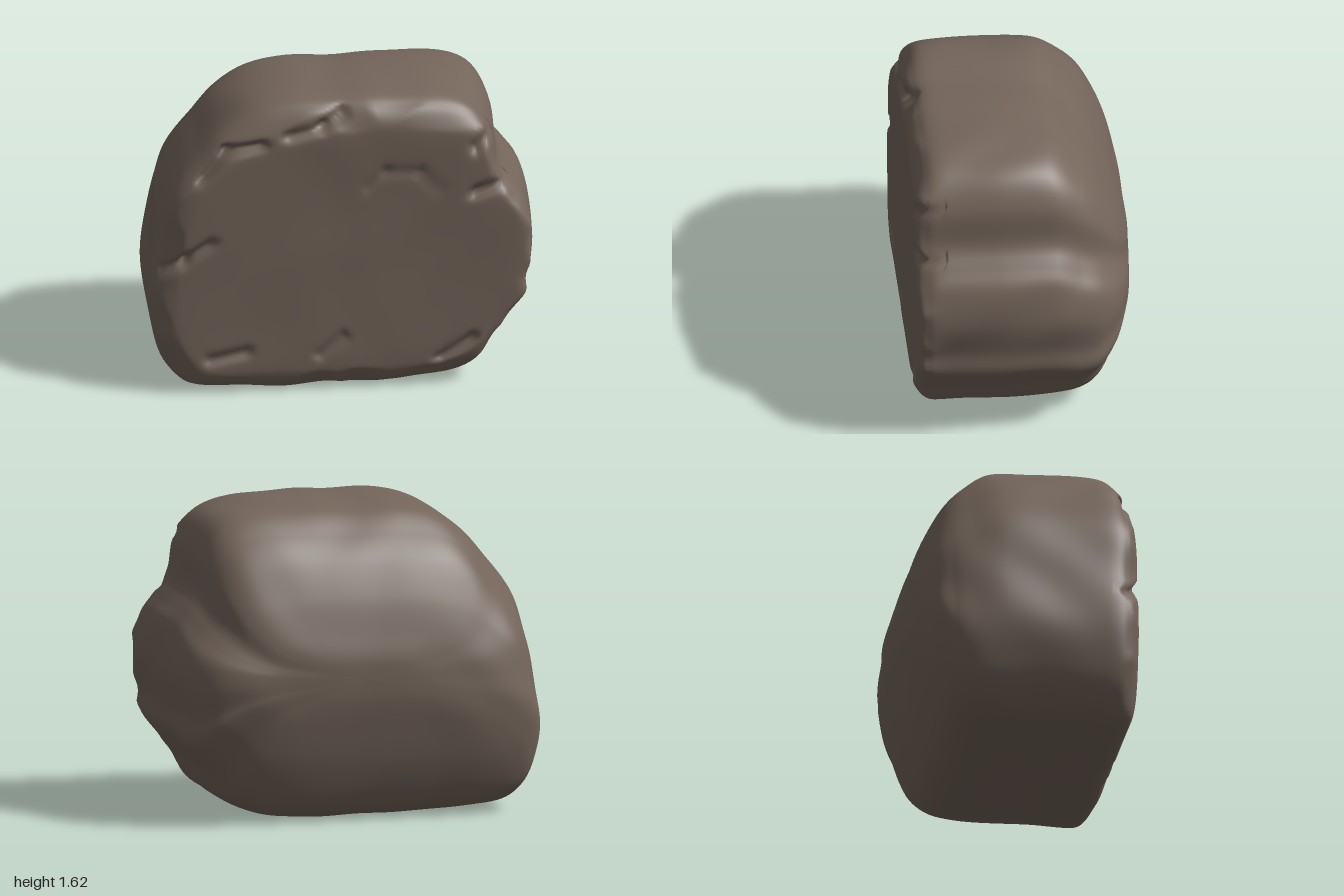
import * as THREE from 'three';

// Silhouette of the boulder, clockwise from its lower right-hand flank
const OUTLINE = [
  [-1, 0.5], [-0.96, 0.75], [-0.88, 1.1], [-0.72, 1.33], [-0.6, 1.47], [-0.45, 1.56],
  [-0.25, 1.6], [0, 1.605], [0.25, 1.615], [0.5, 1.61], [0.7, 1.55], [0.8, 1.4],
  [0.83, 1.2], [0.9, 1.1], [0.97, 1.0], [1, 0.8], [0.97, 0.6], [0.96, 0.45],
  [0.82, 0.28], [0.72, 0.12], [0.55, 0.04], [0.3, 0.01], [-0.1, 0], [-0.4, 0.005],
  [-0.75, 0.03], [-0.9, 0.13], [-0.97, 0.3],
];

// Cross-sections from front to back: z, x min, x max, y min, y max
const SECTIONS = [
  [0.555, 0, 0, 0.78, 0.78], [0.555, -0.45, 0.45, 0.42, 1.14], [0.56, -0.8, 0.84, 0.17, 1.39],
  [0.55, -0.9, 0.95, 0.09, 1.48], [0.5, -0.97, 0.975, 0.02, 1.56], [0.4, -1, 0.98, 0, 1.605],
  [0.1, -0.99, 1, 0, 1.615], [-0.15, -0.98, 0.985, 0, 1.59], [-0.3, -0.96, 0.95, 0.02, 1.48],
  [-0.4, -0.93, 0.9, 0.1, 1.36], [-0.49, -0.86, 0.8, 0.3, 1.17], [-0.55, -0.65, 0.62, 0.52, 0.98],
  [-0.575, -0.35, 0.35, 0.65, 0.87], [-0.58, 0, 0, 0.76, 0.76],
];

// Cracks on the front rim: x1, y1, x2, y2, depth
const CRACKS = [
  [-0.72, 1.2, -0.6, 1.35, 0.04], [-0.6, 1.35, -0.42, 1.39, 0.04], [-0.28, 1.43, -0.1, 1.47, 0.03],
  [-0.1, 1.47, 0, 1.54, 0.04], [-0.94, 0.69, -0.82, 0.76, 0.04], [-0.82, 0.76, -0.68, 0.85, 0.03],
  [0.68, 1.33, 0.78, 1.42, 0.04], [0.68, 1.08, 0.84, 1.13, 0.04], [0.5, 0.16, 0.66, 0.27, 0.03],
  [-0.68, 0.2, -0.5, 0.23, 0.025], [-0.12, 0.2, 0, 0.3, 0.02], [0.13, 1.13, 0.22, 1.22, 0.01],
  [0.22, 1.22, 0.4, 1.21, 0.01], [0.4, 1.21, 0.5, 1.1, 0.008],
];

function segmentDistance(x, y, [ax, ay, bx, by]) {
  const dx = bx - ax, dy = by - ay;
  const t = THREE.MathUtils.clamp(((x - ax) * dx + (y - ay) * dy) / (dx * dx + dy * dy), 0, 1);
  return Math.hypot(x - ax - t * dx, y - ay - t * dy);
}

// Soft, weathered unevenness
function weathering(x, y, z) {
  const broad = Math.sin(4.1 * x + 2.3 * y + 1.7 * z + 0.6) * Math.sin(3.2 * y - 3.9 * z + 1.1);
  const fine = Math.sin(9 * x - 5 * z + 2 * Math.sin(4 * y)) * Math.sin(8 * y + 6 * z + 1.5 * Math.sin(5 * x));
  return 0.011 * broad + 0.007 * fine;
}

// Chipped texture, strongest where the front face breaks into the sides
function chips(x, y) {
  return Math.abs(Math.sin(7 * x + 5 * y + Math.sin(6 * x))) * Math.abs(Math.sin(9 * y - 6 * x + 1));
}

function boulderGeometry(around = 220, along = 168) {
  const loop = new THREE.CatmullRomCurve3(
    OUTLINE.map(([x, y]) => new THREE.Vector3(x, y, 0)), true, 'catmullrom', 0.5);
  const widths = new THREE.CatmullRomCurve3(
    SECTIONS.map(([z, x0, x1]) => new THREE.Vector3(x0, x1, z)), false, 'catmullrom', 0.45);
  const heights = new THREE.CatmullRomCurve3(
    SECTIONS.map(([, , , y0, y1]) => new THREE.Vector3(y0, y1, 0)), false, 'catmullrom', 0.45);
  const outline = Array.from({ length: around }, (_, j) => loop.getPointAt(j / around));

  const positions = [], indices = [];
  for (let i = 0; i <= along; i++) {
    const w = widths.getPoint(i / along), h = heights.getPoint(i / along);
    for (let j = 0; j < around; j++) {
      const p = outline[j];
      let x = THREE.MathUtils.lerp(w.x, w.y, (p.x + 1) / 2);
      let y = THREE.MathUtils.lerp(h.x, h.y, p.y / 1.615);
      let z = w.z;

      const swell = weathering(x, y, z);
      const rim = Math.exp(-(((i / along) * 13 - 3.3) ** 2) / 0.9);
      const scale = 1 + swell - 0.035 * rim * (chips(x, y) - 0.3);
      if (z > 0.42) {
        for (const c of CRACKS) z -= c[4] * Math.exp(-((segmentDistance(x, y, c) / 0.028) ** 2));
        z += 0.3 * swell;
      } else {
        z *= 1 + 0.6 * swell;
      }
      x *= scale;
      y = Math.max(0, 0.8 + (y - 0.8) * scale);
      positions.push(THREE.MathUtils.clamp(x, -1, 1), Math.min(y, 1.62), z);

      if (i < along) {
        const a = i * around + j, b = i * around + ((j + 1) % around);
        indices.push(a, b, a + around, b, b + around, a + around);
      }
    }
  }
  const geometry = new THREE.BufferGeometry();
  geometry.setAttribute('position', new THREE.Float32BufferAttribute(positions, 3));
  geometry.setIndex(indices);
  geometry.computeVertexNormals();
  return geometry;
}

export function createModel() {
  const stone = new THREE.MeshStandardMaterial({ color: 0x74655a });
  stone.name = 'brown stone';

  const boulder = new THREE.Mesh(boulderGeometry(), stone);
  boulder.name = 'boulder';

  const group = new THREE.Group();
  group.name = 'rock';
  group.add(boulder);
  return group;
}
